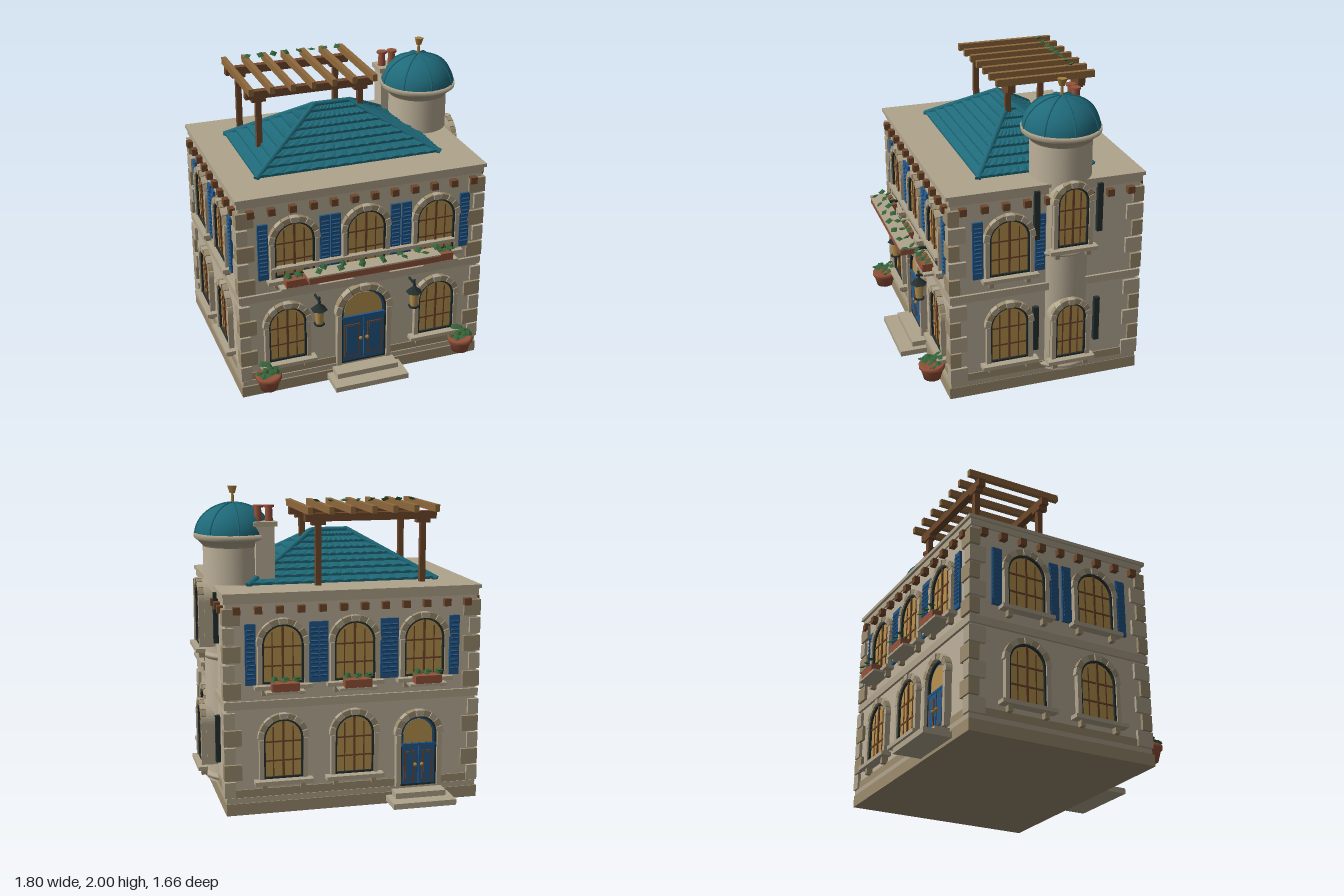
import * as THREE from 'three';

const mat = (color, o = {}) => new THREE.MeshStandardMaterial({ color, ...o });
const M = {
  wall: mat(0xbdb19a), stone: mat(0xb0a48c), block: mat(0x9c8c6e), teal: mat(0x1f6a7a, { flatShading: true, side: THREE.DoubleSide }),
  dome: mat(0x1f6a7a), blue: mat(0x24588a), wood: mat(0x70482c), rafter: mat(0x8e683c), glass: mat(0xb8924e),
  clay: mat(0x95523a), leaf: mat(0x356339, { flatShading: true, side: THREE.DoubleSide }), dark: mat(0x24302f), gold: mat(0xa87d3c),
};
const XL = -0.84, XR = 0.765, ZF = 0.595, ZB = -0.63, CX = (XL + XR) / 2, CZ = (ZF + ZB) / 2;

function add(parent, name, geo, material, x = 0, y = 0, z = 0) {
  const m = new THREE.Mesh(geo, material);
  m.name = name;
  m.position.set(x, y, z);
  parent.add(m);
  return m;
}
const box = (p, name, material, w, h, d, x, y, z) => add(p, name, new THREE.BoxGeometry(w, h, d), material, x, y, z);
// Box given by its limits
const span = (p, name, material, x0, x1, y0, y1, z0, z1) =>
  box(p, name, material, x1 - x0, y1 - y0, z1 - z0, (x0 + x1) / 2, (y0 + y1) / 2, (z0 + z1) / 2);
function rod(p, name, material, a, b, r) {
  const d = b.clone().sub(a);
  const m = add(p, name, new THREE.CylinderGeometry(r, r, d.length(), 8), material);
  m.position.copy(a).addScaledVector(d, 0.5);
  m.quaternion.setFromUnitVectors(new THREE.Vector3(0, 1, 0), d.normalize());
}
const lathe = (p, name, material, pts, x, y, z, n = 28) =>
  add(p, name, new THREE.LatheGeometry(pts.map(q => new THREE.Vector2(q[0], q[1])), n), material, x, y, z);

// Group standing on a wall, its own +z pointing outwards
function onWall(root, name, side, u, y) {
  const g = new THREE.Group();
  g.name = name;
  if (side === 'front') g.position.set(u, y, ZF);
  if (side === 'back') { g.position.set(u, y, ZB); g.rotation.y = Math.PI; }
  if (side === 'left') { g.position.set(XR, y, u); g.rotation.y = Math.PI / 2; }
  if (side === 'right') { g.position.set(XL, y, u); g.rotation.y = -Math.PI / 2; }
  root.add(g);
  return g;
}

// Round-headed outline of width w and full height h
function archShape(w, h, y0 = 0) {
  const r = w / 2, s = new THREE.Shape();
  s.moveTo(-r, y0);
  s.lineTo(r, y0);
  s.lineTo(r, h - r);
  s.absarc(0, h - r, r, 0, Math.PI, false);
  return s;
}
const extrude = (s, depth) => new THREE.ExtrudeGeometry(s, { depth, bevelEnabled: false, curveSegments: 12 });

function surround(g, w, h, t, depth) {
  const r = w / 2, n = 9, cy = h - r;
  const frame = archShape(w, h);
  frame.holes.push(archShape(w - 0.024, h - 0.012, 0.012));
  add(g, 'openingFrame', extrude(frame, 0.026), M.dark);
  for (let i = 0; i < n; i++) {
    const a0 = Math.PI * (i + 0.04) / n, a1 = Math.PI * (i + 0.96) / n, s = new THREE.Shape();
    s.absarc(0, cy, r + t, a0, a1, false);
    s.absarc(0, cy, r, a1, a0, true);
    add(g, 'archStone', extrude(s, depth + (i === 4 ? 0.006 : 0)), i % 2 ? M.block : M.stone);
  }
  for (const sx of [-1, 1]) box(g, 'jamb', M.stone, t * 0.75, cy, depth, sx * (r + t * 0.375), cy / 2, depth / 2);
}

const leafGeo = new THREE.OctahedronGeometry(0.026).scale(1, 0.35, 1.1);
function leaf(p, x, y, z, i = 0) {
  const m = add(p, 'leaf', leafGeo, M.leaf, x, y, z);
  m.rotation.set(0.3, i * 0.9, 0.35);
}

function windowUnit(g, w, h, { shutters = 0, planter = false, sillW = w + 0.1, sillD = 0.06 } = {}) {
  add(g, 'glass', extrude(archShape(w, h), 0.012), M.glass);
  box(g, 'mullion', M.wood, 0.014, h - 0.01, 0.022, 0, h / 2, 0.011);
  for (const f of [0.3, 0.62]) box(g, 'glazingBar', M.wood, w - 0.01, 0.01, 0.018, 0, h * f, 0.009);
  for (const sx of [-1, 1]) box(g, 'glazingBar', M.wood, 0.008, h - w * 0.2, 0.016, sx * w * 0.25, (h - w * 0.2) / 2, 0.008);
  surround(g, w, h, 0.036, 0.035);
  box(g, 'sill', M.stone, sillW, 0.025, sillD, 0, -0.018, sillD / 2);
  for (const sx of [-1, 1]) box(g, 'sillBracket', M.block, 0.03, 0.04, sillD * 0.6, sx * sillW * 0.33, -0.05, sillD * 0.3);
  if (shutters) for (const sx of [-1, 1]) {
    const x = sx * shutters;
    box(g, 'shutter', M.blue, 0.065, h + 0.01, 0.016, x, h / 2, 0.01);
    for (let k = 0; k < 12; k++) box(g, 'shutterSlat', M.blue, 0.047, 0.012, 0.008, x, 0.035 + k * (h - 0.07) / 11, 0.02).rotation.x = 0.5;
  }
  if (planter) {
    box(g, 'planterShelf', M.stone, 0.24, 0.015, 0.12, 0, -0.038, 0.06);
    box(g, 'windowPlanter', M.clay, 0.17, 0.05, 0.07, 0, -0.005, 0.085);
    for (let k = 0; k < 6; k++) leaf(g, -0.07 + (k % 3) * 0.07, 0.035 + (k > 2) * 0.02, 0.08 + (k > 2) * 0.04, k);
  }
}

function doorUnit(g, w, h, leafH) {
  add(g, 'doorBacking', extrude(archShape(w, h), 0.01), M.blue);
  const light = archShape(w - 0.05, h - 0.025, leafH + 0.01);
  add(g, 'fanlight', extrude(light, 0.014), M.glass);
  for (const sx of [-1, 1]) {
    const x = sx * w / 4, pw = w / 2 - 0.05;
    box(g, 'doorLeaf', M.blue, w / 2 - 0.008, leafH, 0.024, x, leafH / 2, 0.012);
    box(g, 'doorPanelFrame', M.wood, pw, leafH * 0.72, 0.008, x, leafH * 0.49, 0.026);
    box(g, 'doorPanel', M.blue, pw - 0.024, leafH * 0.66, 0.01, x, leafH * 0.49, 0.027);
    add(g, 'doorKnob', new THREE.SphereGeometry(0.013, 10, 8), M.gold, sx * 0.022, leafH * 0.52, 0.035);
  }
  box(g, 'transom', M.blue, w, 0.016, 0.028, 0, leafH, 0.014);
  surround(g, w, h, 0.04, 0.045);
}

// One roof slope in stepped, rippled tile courses from eave a-b up to ridge d-c
function roofSlope(p, a, b, c, d) {
  const courses = 8, cols = 56, pos = [], idx = [], L = new THREE.Vector3(), R = new THREE.Vector3();
  for (let i = 0; i < courses * 2 + 1; i++) {
    const v = Math.ceil(i / 2 - 0.5) / courses, up = i % 2 ? 0.018 : 0;
    L.lerpVectors(a, d, v);
    R.lerpVectors(b, c, v);
    for (let j = 0; j <= cols; j++) {
      const q = L.clone().lerp(R, j / cols);
      pos.push(q.x, q.y + up * (0.6 + 0.4 * Math.abs(Math.sin(j * Math.PI / 4))), q.z);
    }
  }
  const W = cols + 1;
  for (let i = 0; i < courses * 2; i++) for (let j = 0; j < cols; j++) {
    const k = i * W + j;
    idx.push(k, k + 1, k + W + 1, k, k + W + 1, k + W);
  }
  const geo = new THREE.BufferGeometry();
  geo.setAttribute('position', new THREE.Float32BufferAttribute(pos, 3));
  geo.setIndex(idx);
  geo.computeVertexNormals();
  add(p, 'roofTiles', geo, M.teal);
}

export function createModel() {
  const root = new THREE.Group();
  root.name = 'villa';

  // Plinth, walls, bands and cornice
  span(root, 'plinth', M.block, -0.86, 0.775, 0, 0.075, -0.648, 0.62);
  span(root, 'plinthCap', M.stone, -0.85, 0.772, 0.075, 0.11, -0.642, 0.61);
  span(root, 'walls', M.wall, XL, XR, 0.1, 1.38, ZB, ZF);
  const band = (name, m, y0, y1, o) => span(root, name, m, XL - o, XR + o, y0, y1, ZB - o, ZF + o);
  band('baseCourse', M.block, 0.11, 0.16, 0.008);
  band('beltCourse', M.stone, 0.675, 0.725, 0.016);
  band('frieze', M.stone, 1.33, 1.375, 0.01);
  span(root, 'roofTerrace', M.stone, -0.862, 0.784, 1.372, 1.395, -0.656, 0.625);
  for (let i = 0; i < 12; i++) for (const z of [ZF + 0.015, ZB - 0.015])
    box(root, 'corniceBracket', M.wood, 0.045, 0.045, 0.045, -0.77 + i * 0.1335, 1.29, z);
  for (let i = 0; i < 9; i++) for (const x of [XL - 0.015, XR + 0.015])
    box(root, 'corniceBracket', M.wood, 0.045, 0.045, 0.045, x, 1.29, CZ - 0.54 + i * 0.135);

  // Corner quoins
  for (let i = 0; i < 10; i++) for (const sx of [-1, 1]) for (const sz of [-1, 1]) {
    const wide = i % 2, w = wide ? 0.11 : 0.07, d = wide ? 0.07 : 0.11, y = i < 5 ? 0.165 + i * 0.11 : 0.79 + (i - 5) * 0.115;
    box(root, 'quoin', wide ? M.block : M.stone, w, 0.1, d, CX + sx * (0.8225 - w / 2), y, CZ + sz * (0.6325 - d / 2));
  }

  // Upper and lower windows
  const upper = (side, u, o) => windowUnit(onWall(root, 'upperWindow', side, u, 0.83), 0.26, 0.37, { shutters: 0.2, ...o });
  const lower = (side, u) => windowUnit(onWall(root, 'lowerWindow', side, u, 0.225), 0.25, 0.38, { sillW: 0.37, sillD: 0.065 });
  for (const x of [-0.495, -0.025, 0.45]) upper('front', x, { planter: true });
  for (const x of [-0.49, -0.04, 0.415]) upper('back', x, { planter: true });
  for (const z of [0.225, -0.265]) { upper('right', z); lower('right', z); }
  upper('left', 0.23);
  lower('left', 0.23);
  for (const x of [-0.55, 0.47]) lower('front', x);
  for (const x of [-0.04, 0.415]) lower('back', x);

  // Doors and steps
  doorUnit(onWall(root, 'frontDoor', 'front', -0.037, 0.11), 0.31, 0.53, 0.335);
  doorUnit(onWall(root, 'backDoor', 'back', -0.46, 0.11), 0.24, 0.46, 0.27);
  for (const [u, z0, z1, z2] of [[-0.037, 0.6, 0.8, 0.71], [-0.455, -0.63, -0.83, -0.74]]) {
    box(root, 'lowerStep', M.stone, 0.5 - (z1 < 0) * 0.09, 0.036, 0.2, u, 0.038, (z0 + z1) / 2);
    box(root, 'upperStep', M.stone, 0.42 - (z1 < 0) * 0.09, 0.036, 0.11, u, 0.074, (z0 + z2) / 2);
  }

  // Long balcony planter
  span(root, 'balconyLedge', M.stone, -0.65, 0.577, 0.885, 0.908, 0.6, 0.645);
  span(root, 'balconyPlanter', M.clay, -0.465, 0.385, 0.86, 0.905, 0.72, 0.815);
  span(root, 'planterTop', M.stone, -0.475, 0.4, 0.902, 0.912, 0.715, 0.82);
  for (const x of [-0.42, 0.34]) span(root, 'planterArm', M.dark, x - 0.008, x + 0.008, 0.862, 0.878, 0.6, 0.73);
  for (let i = 0; i < 7; i++) { leaf(root, -0.4 + i * 0.14, 0.935, 0.8, i); leaf(root, -0.35 + i * 0.125, 0.93, 0.745, i + 2); }

  // Lanterns and potted plants
  for (const x of [-0.36, 0.286]) {
    const g = onWall(root, 'lantern', 'front', x, 0.48);
    box(g, 'lanternArm', M.dark, 0.012, 0.012, 0.1, 0, 0.17, 0.05);
    add(g, 'lanternGlass', new THREE.CylinderGeometry(0.033, 0.024, 0.1, 6), M.glass, 0, 0.06, 0.085);
    add(g, 'lanternRoof', new THREE.ConeGeometry(0.055, 0.05, 6), M.dark, 0, 0.135, 0.085);
    add(g, 'lanternFinial', new THREE.CylinderGeometry(0.008, 0.008, 0.05, 6), M.dark, 0, 0.175, 0.085);
    add(g, 'lanternBase', new THREE.CylinderGeometry(0.036, 0.036, 0.01, 6), M.dark, 0, 0.005, 0.085);
  }
  for (const x of [-0.705, 0.625]) {
    lathe(root, 'flowerPot', M.clay, [[0, 0], [0.055, 0], [0.075, 0.075], [0.084, 0.077], [0.084, 0.1], [0.07, 0.1], [0, 0.09]], x, 0.09, 0.695, 18);
    for (let i = 0; i < 14; i++) {
      const a = i * 2.4, r = i < 8 ? 0.06 : 0.025;
      leaf(root, x + Math.cos(a) * r, 0.2 + (i % 4) * 0.014 + (i > 7) * 0.01, 0.7 + Math.sin(a) * r, i);
    }
  }

  // Tiled hip roof
  const V = (x, y, z) => new THREE.Vector3(x, y, z);
  const e = [V(-0.655, 1.4, 0.365), V(0.58, 1.4, 0.365), V(0.58, 1.4, -0.39), V(-0.655, 1.4, -0.39)];
  const r0 = V(-0.155, 1.69, 0), r1 = V(0.085, 1.69, 0);
  roofSlope(root, e[0], e[1], r1, r0);
  roofSlope(root, e[1], e[2], r1, r1);
  roofSlope(root, e[2], e[3], r0, r1);
  roofSlope(root, e[3], e[0], r0, r0);
  [[e[0], r0], [e[3], r0], [e[1], r1], [e[2], r1], [r0, r1]].forEach(([a, b]) => rod(root, 'ridgeTile', M.dome, a, b, 0.019));

  // Pergola
  for (const z of [-0.44, 0.03]) {
    for (const x of [-0.535, 0.145]) {
      span(root, 'pergolaPost', M.wood, x - 0.018, x + 0.018, 1.39, 1.8, z - 0.018, z + 0.018);
      box(root, 'postCap', M.wood, 0.09, 0.025, 0.05, x, 1.785, z);
    }
    span(root, 'pergolaBeam', M.wood, -0.62, 0.23, 1.795, 1.845, z - 0.024, z + 0.024);
  }
  for (let i = 0; i < 7; i++) box(root, 'pergolaRafter', M.rafter, 0.032, 0.045, 0.66, -0.603 + i * 0.136, 1.867, -0.2);
  for (let i = 0; i < 8; i++) leaf(root, -0.476 + i * 0.0885, 1.92, -0.4, i);

  // Round tower with dome
  const TX = 0.63, TZ = -0.15;
  add(root, 'tower', new THREE.CylinderGeometry(0.193, 0.193, 1.56, 32), M.wall, TX, 0.88, TZ);
  lathe(root, 'towerCornice', M.stone, [[0.19, 0], [0.2, 0.02], [0.232, 0.05], [0.248, 0.06], [0.248, 0.09], [0, 0.09]], TX, 1.62, TZ, 32);
  for (const y of [0.115, 0.91]) lathe(root, 'towerRing', M.stone, [[0.19, 0], [0.212, 0.012], [0.225, 0.035], [0.19, 0.045]], TX, y, TZ, 32);
  const domePts = [];
  for (let i = 0; i <= 10; i++) domePts.push([0.242 * Math.cos(i * Math.PI / 20), 0.2 * Math.sin(i * Math.PI / 20)]);
  domePts[10][0] = 0;
  lathe(root, 'dome', M.dome, domePts, TX, 1.695, TZ, 32);
  for (let i = 0; i < 8; i++) {
    const a = i * Math.PI / 4;
    const curve = new THREE.CatmullRomCurve3(domePts.map(q => V(q[0] * Math.cos(a), q[1], q[0] * Math.sin(a))));
    add(root, 'domeRib', new THREE.TubeGeometry(curve, 12, 0.006, 5), M.dome, TX, 1.696, TZ);
  }
  add(root, 'finialStem', new THREE.CylinderGeometry(0.008, 0.012, 0.08, 8), M.gold, TX, 1.92, TZ);
  add(root, 'finial', new THREE.CylinderGeometry(0.032, 0.018, 0.045, 5), M.gold, TX, 1.9775, TZ);

  // Tower windows on projecting bays
  for (const [y, h] of [[1.0, 0.4], [0.225, 0.385]]) {
    const g = onWall(root, 'towerWindow', 'left', TZ, y);
    g.position.x = 0.84;
    add(g, 'windowBay', extrude(archShape(0.26, h + 0.015), 0.09), M.stone, 0, 0, -0.09);
    windowUnit(g, 0.2, h - 0.01, { sillW: 0.31 });
    for (const sx of [-1, 1]) box(g, 'sideShutter', M.dark, 0.035, h - 0.08, 0.03, sx * 0.205, h / 2, -0.06);
  }

  // Chimney
  span(root, 'chimney', M.wall, 0.4, 0.52, 1.39, 1.76, -0.35, -0.23);
  span(root, 'chimneyCap', M.stone, 0.385, 0.535, 1.76, 1.79, -0.365, -0.215);
  for (const x of [0.425, 0.495]) {
    add(root, 'chimneyPot', new THREE.CylinderGeometry(0.022, 0.026, 0.085, 10), M.clay, x, 1.832, -0.29);
    add(root, 'chimneyPotCap', new THREE.CylinderGeometry(0.034, 0.034, 0.014, 10), M.clay, x, 1.882, -0.29);
  }
  return root;
}
